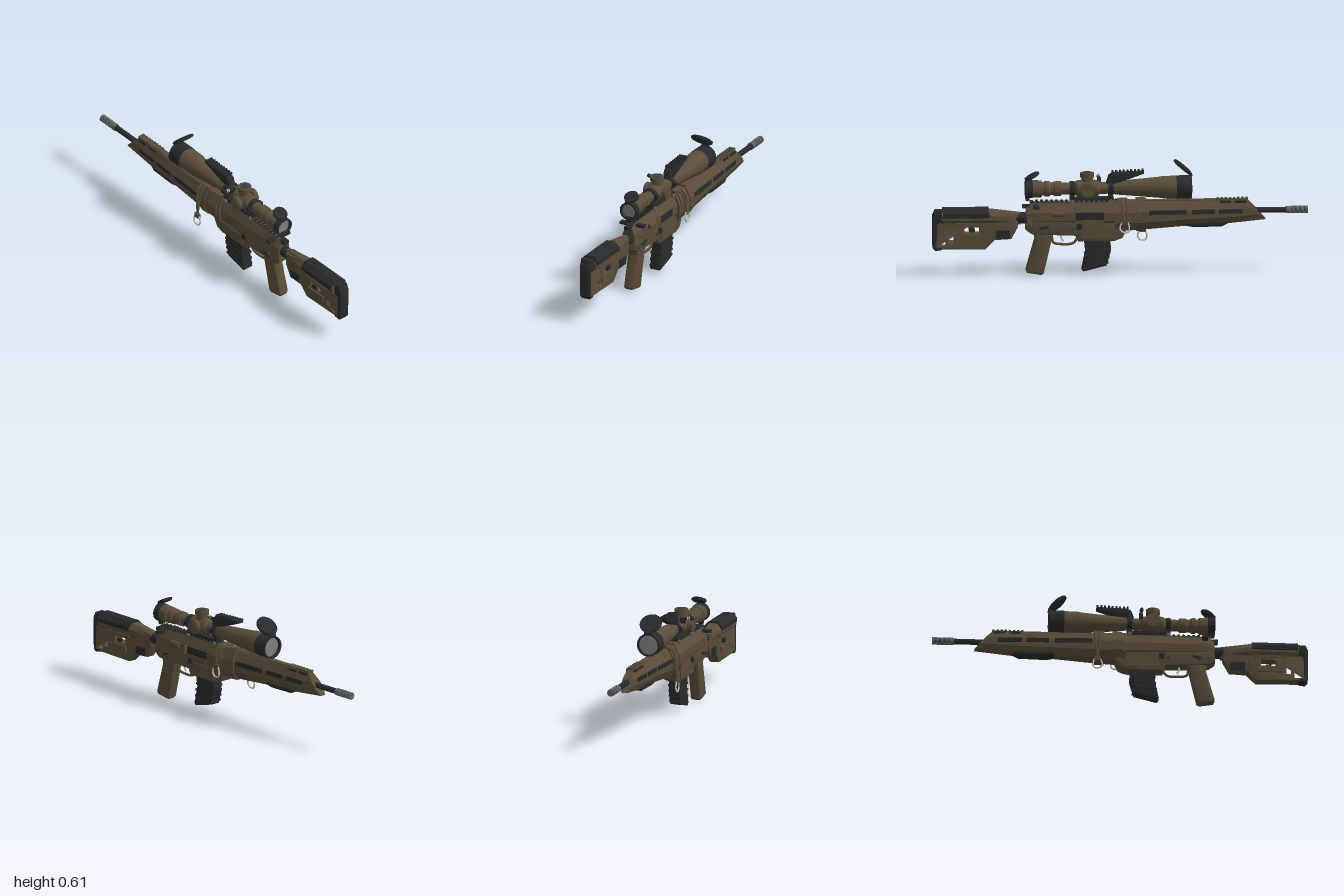
import * as THREE from 'three';
import { toCreasedNormals } from 'three/addons/utils/BufferGeometryUtils.js';

const mat = (name, color) => new THREE.MeshStandardMaterial({ name, color });

export function createModel() {
  const model = new THREE.Group();
  const tan = mat('earth brown', 0x5a4d3a), black = mat('matte black', 0x282a2b);
  const dark = mat('dark steel', 0x3c3d3f), steel = mat('gunmetal', 0x626365);
  const silver = mat('bright metal', 0xc4c4c2), glass = mat('lens grey', 0x7d7f80);
  const AXIS = 0.465; // height of the scope axis

  const add = (name, geo, m, x = 0, y = 0, z = 0) => {
    const mesh = new THREE.Mesh(geo, m);
    mesh.name = name;
    mesh.position.set(x, y, z);
    model.add(mesh);
    return mesh;
  };
  const box = (name, m, w, h, d, x, y, z, tilt = 0) => {
    const b = add(name, new THREE.BoxGeometry(w, h, d), m, x, y, z);
    b.rotation.x = tilt;
    return b;
  };
  // side profile of [z, y] points, extruded across x
  const side = (name, m, pts, halfW, bevel = 0.006, holes = [], x = 0) => {
    const v = p => p.map(([z, y]) => new THREE.Vector2(-z, y));
    const s = new THREE.Shape(v(pts));
    holes.forEach(h => s.holes.push(new THREE.Path(v(h))));
    const depth = 2 * (halfW - bevel);
    const g = new THREE.ExtrudeGeometry(s, { depth, bevelEnabled: bevel > 0, bevelSize: bevel,
      bevelThickness: bevel, bevelOffset: -bevel, bevelSegments: 2 });
    g.translate(0, 0, -depth / 2).rotateY(Math.PI / 2);
    return add(name, toCreasedNormals(g, 0.5), m, x);
  };
  const rect = (z0, z1, y0, y1) => [[z0, y0], [z1, y0], [z1, y1], [z0, y1]];
  // skin over closed sections of [x, y, z], running towards -z
  const loft = (name, m, secs, x = 0) => {
    const n = secs[0].length, pos = [];
    const tri = (...p) => p.forEach(q => pos.push(...q));
    for (let i = 0; i + 1 < secs.length; i++) for (let j = 0; j < n; j++) {
      const k = (j + 1) % n, a = secs[i], b = secs[i + 1];
      tri(a[j], b[j], b[k]);
      tri(a[j], b[k], a[k]);
    }
    const end = secs[secs.length - 1];
    for (let j = 1; j + 1 < n; j++) {
      tri(secs[0][0], secs[0][j], secs[0][j + 1]);
      tri(end[0], end[j + 1], end[j]);
    }
    const g = new THREE.BufferGeometry();
    g.setAttribute('position', new THREE.Float32BufferAttribute(pos, 3));
    g.computeVertexNormals();
    return add(name, g, m, x);
  };
  // eight-sided section; lean pushes higher points back
  const octa = (z, w, y0, y1, lean = 0) => {
    const h = y1 - y0, b = w * 0.55, t = w * 0.5;
    return [[-b, y0], [b, y0], [w, y0 + h * 0.28], [w, y0 + h * 0.62], [t, y1], [-t, y1],
      [-w, y0 + h * 0.62], [-w, y0 + h * 0.28]].map(([x, y]) => [x, y, z + lean * (y - y0)]);
  };
  // turned part along z from [radius, z] points
  const turned = (name, m, pts, y = AXIS, seg = 32) => {
    const g = new THREE.LatheGeometry(pts.map(p => new THREE.Vector2(...p)), seg).rotateX(Math.PI / 2);
    return add(name, toCreasedNormals(g, 0.5), m, 0, y);
  };
  const rod = (name, m, r, len, axis, x, y, z, seg = 24) => {
    const c = add(name, new THREE.CylinderGeometry(r, r, len, seg), m, x, y, z);
    if (axis === 'x') c.rotation.z = Math.PI / 2;
    if (axis === 'z') c.rotation.x = Math.PI / 2;
    return c;
  };
  const tube = (name, m, pts, r, closed = false) => add(name, new THREE.TubeGeometry(
    new THREE.CatmullRomCurve3(pts.map(p => new THREE.Vector3(...p)), closed), 28, r, 8, closed), m);

  // Butt stock
  side('buttPad', black, [[0.95, 0.145], [0.985, 0.14], [0.998, 0.155], [1, 0.33], [0.985, 0.36], [0.93, 0.36],
    [0.93, 0.29], [0.975, 0.285], [0.975, 0.165], [0.95, 0.165]], 0.03, 0.008);
  side('stockBody', tan, [[0.985, 0.15], [0.72, 0.145], [0.67, 0.195], [0.58, 0.2], [0.545, 0.265], [0.545, 0.335],
    [0.7, 0.352], [0.95, 0.352], [0.975, 0.3]], 0.029, 0.006,
    [rect(0.927, 0.968, 0.168, 0.28), rect(0.885, 0.912, 0.19, 0.275), rect(0.75, 0.83, 0.235, 0.265)]);
  loft('stockComb', tan, [octa(0.95, 0.046, 0.285, 0.36), octa(0.7, 0.046, 0.285, 0.36), octa(0.53, 0.022, 0.275, 0.34)]);
  loft('cheekPad', black, [octa(0.945, 0.051, 0.305, 0.368), octa(0.7, 0.051, 0.305, 0.368)]);
  for (const s of [1, -1]) {
    box('stockRib', tan, 0.012, 0.012, 0.17, s * 0.031, 0.285, 0.8);
    box('stockRib', tan, 0.012, 0.03, 0.13, s * 0.031, 0.21, 0.8);
    box('stockSocket', black, 0.008, 0.045, 0.075, s * 0.028, 0.225, 0.625);
    box('stockLatch', black, 0.012, 0.02, 0.03, s * 0.03, 0.25, 0.79);
  }
  rod('bufferTube', black, 0.03, 0.06, 'z', 0, 0.31, 0.525);

  // Receiver
  loft('upperReceiver', tan, [octa(0.5, 0.035, 0.275, 0.37), octa(0.46, 0.042, 0.265, 0.388), octa(0.02, 0.046, 0.255, 0.39)]);
  side('lowerReceiver', tan, [[0.5, 0.31], [0.505, 0.25], [0.47, 0.225], [0.24, 0.215], [0.225, 0.185], [0.03, 0.185],
    [-0.01, 0.2], [-0.04, 0.26], [-0.04, 0.32]], 0.04);
  box('receiverRail', tan, 0.044, 0.012, 0.5, 0, 0.39, 0.23);
  for (let i = 0; i < 19; i++) box('railTooth', black, 0.046, 0.008, 0.014, 0, 0.398, 0.47 - i * 0.0265);
  box('chargingHandle', black, 0.144, 0.015, 0.03, 0, 0.374, 0.45);
  box('chargingHandleStem', black, 0.035, 0.018, 0.09, 0, 0.372, 0.475);
  box('ejectionPort', black, 0.006, 0.042, 0.15, 0.045, 0.32, 0.165);
  box('portCover', tan, 0.008, 0.016, 0.15, 0.048, 0.293, 0.165);
  side('shellDeflector', tan, [[0.29, 0.3], [0.245, 0.3], [0.245, 0.35]], 0.012, 0.002, [], 0.05);
  rod('forwardAssist', tan, 0.015, 0.06, 'z', 0.047, 0.335, 0.33, 16);
  for (const s of [1, -1]) {
    box('magazineWellPanel', tan, 0.008, 0.06, 0.17, s * 0.041, 0.23, 0.12);
    rod('selectorHub', dark, 0.012, 0.012, 'x', s * 0.043, 0.26, 0.42, 16);
    box('selectorLever', black, 0.008, 0.01, 0.045, s * 0.047, 0.262, 0.405, 0.3);
    for (const z of [0.47, 0.255, 0.02]) rod('receiverPin', dark, 0.008, 0.01, 'x', s * 0.042, 0.255, z, 12);
    box('boltCatch', black, 0.008, 0.03, 0.03, s * 0.045, 0.265, 0.22);
  }

  // Pistol grip, trigger and guard
  side('pistolGrip', tan, [[0.465, 0.24], [0.455, 0.2], [0.503, 0.03], [0.495, 0.015], [0.42, 0.002], [0.407, 0.012],
    [0.37, 0.17], [0.355, 0.235]], 0.031, 0.014);
  tube('triggerGuard', tan, [[0, 0.215, 0.365], [0, 0.175, 0.355], [0, 0.165, 0.31], [0, 0.17, 0.25], [0, 0.2, 0.225]], 0.007);
  tube('trigger', silver, [[0, 0.22, 0.315], [0, 0.2, 0.312], [0, 0.18, 0.302]], 0.005);

  // Magazine
  side('magazine', black, [[0.195, 0.2], [0.183, 0.13], [0.205, 0.028], [0.195, 0.02], [0.075, 0.05], [0.07, 0.06],
    [0.05, 0.13], [0.055, 0.2]], 0.03, 0.005);
  for (let i = 0; i < 4; i++) box('magazineRib', black, 0.066, 0.012, 0.136, 0, 0.055 + i * 0.032, 0.131 - i * 0.004, 0.22 - i * 0.05);

  // Handguard
  loft('handguard', tan, [octa(0.03, 0.058, 0.235, 0.4), octa(-0.14, 0.056, 0.245, 0.395), octa(-0.38, 0.045, 0.262, 0.392),
    octa(-0.58, 0.037, 0.27, 0.392), octa(-0.775, 0.028, 0.288, 0.392, 0.9)]);
  loft('handguardBelly', black, [octa(-0.35, 0.03, 0.258, 0.29), octa(-0.39, 0.034, 0.25, 0.29), octa(-0.54, 0.03, 0.252, 0.29),
    octa(-0.57, 0.022, 0.265, 0.29)]);
  const halfW = z => (z > -0.38 ? 0.045 + (z + 0.38) * 0.0458 : 0.045 + (z + 0.38) * 0.04);
  for (const s of [1, -1]) {
    for (const [za, zb] of [[-0.15, -0.35], [-0.38, -0.5], [-0.525, -0.65]]) {
      loft('ventSlot', black, [za, zb].map(z => {
        const w = s * halfW(z);
        return [[w - 0.004, 0.325, z], [w + 0.004, 0.325, z], [w + 0.002, 0.348, z], [w - 0.006, 0.348, z]];
      }));
    }
    for (const z of [-0.56, -0.64]) box('upperVent', black, 0.008, 0.012, 0.06, s * 0.021, 0.385, z);
  }
  box('handguardTopRail', tan, 0.032, 0.012, 0.63, 0, 0.393, -0.36);
  for (let i = 0; i < 8; i++) box('frontRailTooth', tan, 0.036, 0.009, 0.012, 0, 0.4, -0.52 - i * 0.022);

  // Barrel and muzzle brake
  rod('barrel', black, 0.015, 0.26, 'z', 0, 0.335, -0.77);
  turned('muzzleCollar', steel, [[0, -0.91], [0.018, -0.91], [0.02, -0.9], [0.02, -0.885], [0, -0.885]], 0.335, 16);
  rod('muzzleCore', dark, 0.012, 0.11, 'z', 0, 0.335, -0.944, 12);
  for (const z of [-0.922, -0.946, -0.97, -0.993]) rod('brakeBaffle', steel, 0.02, 0.013, 'z', 0, 0.335, z, 12);
  for (const s of [1, -1]) box('brakeSpine', steel, 0.012, 0.006, 0.1, 0, 0.335 + s * 0.016, -0.947);

  // Sling bands, cords and hooks
  const band = (z, w, y0, y1) => loft('slingBand', tan, [octa(z + 0.025, w, y0, y1), octa(z - 0.025, w, y0, y1)]);
  band(-0.015, 0.063, 0.245, 0.405);
  band(-0.11, 0.062, 0.236, 0.408);
  for (const [s, z, low] of [[1, -0.02, 0.3], [-1, -0.125, 0.23]]) {
    for (const d of [-0.012, 0.012]) tube('slingCord', tan, [[s * 0.03, 0.405, z + d], [s * 0.058, 0.385, z + d],
      [s * 0.07, 0.33, z + d * 0.8], [s * 0.075, low, z]], 0.006);
    box('hookClip', tan, 0.016, 0.025, 0.032, s * 0.076, low - 0.005, z);
    tube('slingHook', silver, [[0, 0, 0.01], [0, -0.035, 0.026], [0, -0.055, 0.012], [0, -0.055, -0.016], [0, -0.035, -0.024],
      [0, 0, -0.01]].map(([, y, d]) => [s * (0.077 - y * 0.05), low - 0.005 + y, z + d]), 0.0045, true);
  }

  // Scope body
  turned('objectiveShade', black, [[0.05, -0.34], [0.054, -0.38], [0.062, -0.38], [0.062, -0.3], [0.056, -0.295]]);
  turned('objectiveBell', tan, [[0.05, -0.31], [0.06, -0.31], [0.06, -0.23], [0.056, -0.21], [0.036, 0.02], [0.031, 0.04], [0.031, 0.06]]);
  rod('scopeTube', tan, 0.031, 0.36, 'z', 0, AXIS, 0.21, 32);
  turned('zoomRing', tan, [[0.03, 0.31], [0.039, 0.315], [0.039, 0.35], [0.034, 0.355], [0.034, 0.37], [0.042, 0.38], [0.042, 0.4],
    [0.036, 0.405], [0.036, 0.415], [0.045, 0.42], [0.047, 0.475], [0.04, 0.475]]);
  turned('eyepiece', black, [[0.044, 0.465], [0.049, 0.468], [0.05, 0.505], [0.041, 0.505], [0.038, 0.48]]);
  rod('rearLens', glass, 0.041, 0.006, 'z', 0, AXIS, 0.488, 32);
  rod('frontLens', glass, 0.054, 0.006, 'z', 0, AXIS, -0.36, 32);

  // Turrets
  turned('turretHousing', tan, [[0.03, 0.105], [0.043, 0.12], [0.046, 0.14], [0.046, 0.21], [0.043, 0.23], [0.03, 0.245]], AXIS, 16);
  rod('topTurretBase', tan, 0.03, 0.06, 'y', 0, 0.5, 0.175);
  rod('topTurretKnob', tan, 0.037, 0.026, 'y', 0, 0.537, 0.175, 16);
  rod('topTurretCap', dark, 0.024, 0.008, 'y', 0, 0.549, 0.175);
  for (const s of [1, -1]) {
    rod('sideTurretKnob', tan, 0.038, 0.022, 'x', s * 0.055, AXIS, 0.175, 16);
    rod('sideTurretCap', tan, 0.028, 0.01, 'x', s * 0.066, AXIS, 0.175, 16);
  }
  rod('sideLever', black, 0.008, 0.05, 'x', -0.063, 0.513, 0.11, 16);
  for (const x of [-0.058, -0.068]) rod('leverBand', silver, 0.009, 0.006, 'x', x, 0.513, 0.11, 16);
  rod('leverKnob', black, 0.01, 0.016, 'x', -0.081, 0.513, 0.11, 16);
  box('leverFoot', black, 0.03, 0.03, 0.02, -0.03, 0.5, 0.11);

  // Scope mount
  box('mountBase', black, 0.05, 0.014, 0.23, 0, 0.41, 0.15);
  for (const z of [0.255, 0.05]) {
    rod('mountRing', black, 0.039, 0.026, 'z', 0, AXIS, z, 24);
    box('mountPost', black, 0.04, 0.04, 0.024, 0, 0.42, z);
    for (const s of [1, -1]) {
      box('ringClamp', black, 0.014, 0.02, 0.026, s * 0.041, AXIS, z);
      rod('mountNut', steel, 0.01, 0.014, 'x', s * 0.03, 0.398, z, 6);
    }
  }

  // Accessory rail above the scope
  side('accessoryRail', black, [[0.075, 0.49], [0.06, 0.535], [0.04, 0.548], [-0.125, 0.553], [-0.125, 0.542], [-0.02, 0.505],
    [0.03, 0.49]], 0.021, 0.003);
  for (let i = 0; i < 9; i++) box('accessoryRailTooth', black, 0.046, 0.01, 0.01, 0, 0.552 + i * 0.0006, 0.04 - i * 0.02);

  // Flip-up lens caps, hinged at the top of each end
  const cap = (r, y, z, tilt) => {
    const c = rod('flipCap', black, r, 0.009, 'y', 0, y, z, 24);
    const rim = rod('flipCapRim', black, r * 0.88, 0.016, 'y', 0, y, z, 24);
    c.rotation.x = rim.rotation.x = tilt;
  };
  cap(0.06, 0.573, -0.333, -0.7);
  cap(0.04, 0.535, 0.467, 0.5);
  rod('frontCapHinge', black, 0.008, 0.04, 'x', 0, 0.531, -0.376, 12);
  rod('rearCapHinge', black, 0.007, 0.035, 'x', 0, 0.517, 0.5, 12);
  box('rearCapLatch', black, 0.03, 0.03, 0.02, 0, 0.417, 0.492);
  return model;
}
